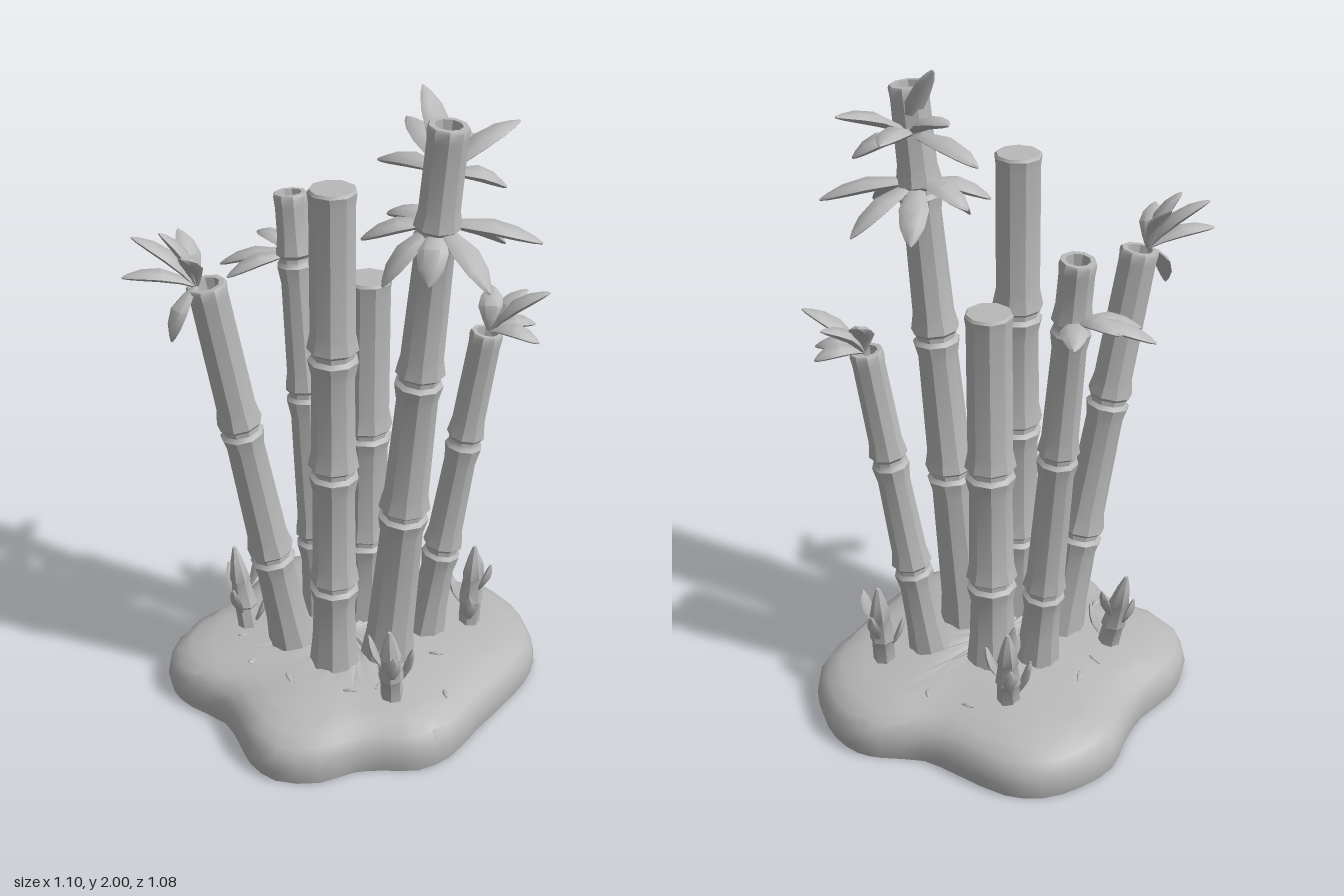
import * as THREE from 'three';
import { toCreasedNormals } from 'three/addons/utils/BufferGeometryUtils.js';

const V = (x, y, z) => new THREE.Vector3(x, y, z);
const UP = V(0, 1, 0);

// Skin a list of rings (equal point counts, counter-clockwise seen from the end), with both ends closed
function loft(rings, crease = 0.6) {
  const n = rings[0].length, pos = [], idx = [];
  rings.forEach(r => r.forEach(p => pos.push(p.x, p.y, p.z)));
  for (let i = 0; i < rings.length - 1; i++) {
    for (let j = 0; j < n; j++) {
      const k = (j + 1) % n, a = i * n, b = a + n;
      idx.push(a + j, a + k, b + k, a + j, b + k, b + j);
    }
  }
  [rings[0], rings[rings.length - 1]].forEach((r, end) => {
    const c = r.reduce((s, p) => s.add(p), V(0, 0, 0)).divideScalar(n);
    const ci = pos.length / 3, o = end ? (rings.length - 1) * n : 0;
    pos.push(c.x, c.y, c.z);
    for (let j = 0; j < n; j++) {
      const k = (j + 1) % n;
      end ? idx.push(ci, o + j, o + k) : idx.push(ci, o + k, o + j);
    }
  });
  const g = new THREE.BufferGeometry();
  g.setAttribute('position', new THREE.Float32BufferAttribute(pos, 3));
  g.setIndex(idx);
  return toCreasedNormals(g, crease);
}

// Elliptical ring around c in the plane of u and v
function ring(c, u, v, ru, rv, n, spin = 0) {
  return Array.from({ length: n }, (_, j) => {
    const a = spin + j / n * Math.PI * 2;
    return c.clone().addScaledVector(u, Math.cos(a) * ru).addScaledVector(v, Math.sin(a) * rv);
  });
}

// Leaning cane with flared, grooved joints and a cut or hollow top
function caneGeometry(base, top, r0, r1, nodes, hollow, spin) {
  const w = top.clone().sub(base).normalize();
  const u = V(1, 0, 0).addScaledVector(w, -w.x).normalize();
  const v = w.clone().cross(u);
  const prof = [[base.y - 0.05, 1.2], [base.y + 0.08, 1]];
  for (const y of nodes) {
    prof.push([y - 0.07, 0.93], [y - 0.018, 1.1], [y - 0.006, 0.93],
      [y + 0.008, 0.93], [y + 0.02, 1.13], [y + 0.07, 0.98]);
  }
  prof.push([top.y - 0.04, 0.98], [top.y - 0.008, 1.04], [top.y, 0.96]);
  if (hollow) prof.push([top.y, 0.68], [top.y - 0.035, 0.6]);
  return loft(prof.map(([y, k]) => {
    const t = (y - base.y) / (top.y - base.y);
    const r = k * (r0 + (r1 - r0) * t);
    return ring(base.clone().lerp(top, t), u, v, r, r, 9, spin);
  }));
}

// Plump pointed leaf from base to tip, arched a little
function leafGeometry(base, tip, width, arch = 0.02) {
  const d = tip.clone().sub(base).normalize();
  const side = UP.clone().cross(d).normalize();
  const nor = d.clone().cross(side);
  const prof = [[0, 0.25], [0.22, 0.62], [0.5, 1], [0.75, 0.82], [0.92, 0.4], [1, 0.06]];
  return loft(prof.map(([t, k]) => {
    const c = base.clone().lerp(tip, t).addScaledVector(nor, arch * Math.sin(Math.PI * t));
    return ring(c, side, nor, k * width / 2, k * width * 0.19 + 0.002, 6);
  }), 0.75);
}

// Lobed mound: one outline scaled through a rounded profile
function moundGeometry() {
  const outline = [[0.55, -0.24], [0.53, -0.1], [0.47, 0.1], [0.43, 0.25], [0.36, 0.34], [0.26, 0.38],
    [0.18, 0.42], [0.1, 0.5], [-0.03, 0.54], [-0.13, 0.5], [-0.2, 0.43], [-0.28, 0.36], [-0.42, 0.325],
    [-0.5, 0.28], [-0.55, 0.19], [-0.54, 0.05], [-0.475, -0.08], [-0.45, -0.2], [-0.44, -0.33],
    [-0.37, -0.44], [-0.27, -0.52], [-0.16, -0.54], [0, -0.5], [0.12, -0.47], [0.25, -0.495],
    [0.33, -0.495], [0.42, -0.45], [0.5, -0.36]].reverse();
  const curve = new THREE.CatmullRomCurve3(outline.map(([x, z]) => V(x, 0, z)), true);
  const pts = curve.getPoints(56).slice(0, 56);
  const prof = [[0, 0.985], [0.04, 1], [0.085, 0.985], [0.118, 0.945], [0.142, 0.87],
    [0.158, 0.75], [0.172, 0.58], [0.182, 0.38], [0.188, 0.15]];
  return loft(prof.map(([y, s], i) => pts.map((p, j) => {
    const bump = i > 1 ? 0.006 * Math.sin(j * 1.9 + i * 2.3) : 0;
    return V(p.x * s, y + bump, p.z * s);
  })), 0.8);
}

export function createModel() {
  const group = new THREE.Group();
  const grey = new THREE.MeshStandardMaterial({ color: 0xb8b8b8 });
  grey.name = 'plain grey';
  const add = (name, geometry, parent = group) => {
    const m = new THREE.Mesh(geometry, grey);
    m.name = name;
    parent.add(m);
    return m;
  };

  add('mound', moundGeometry());

  // Canes: base, top, radii, joint heights, hollow top
  const canes = [
    ['frontLeaningCane', [-0.16, 0.19, 0.09], [-0.33, 1.45, 0.235], 0.066, 0.056, [0.52, 0.98], true],
    ['backLeaningCane', [-0.13, 0.19, -0.09], [-0.25, 1.58, -0.17], 0.062, 0.05, [0.45, 0.95, 1.38], true],
    ['frontStraightCane', [0.005, 0.19, 0.135], [0.005, 1.74, 0.135], 0.069, 0.066, [0.47, 0.87, 1.25], false],
    ['backStraightCane', [0.005, 0.19, -0.13], [0.01, 1.37, -0.13], 0.071, 0.067, [0.47, 0.86], false],
    ['tallCane', [0.145, 0.19, 0.04], [0.3, 1.93, 0.07], 0.075, 0.056, [0.72, 1.18, 1.63], true],
    ['shortCane', [0.215, 0.19, -0.13], [0.355, 1.23, -0.19], 0.058, 0.048, [0.48, 0.87], true],
  ];
  canes.forEach(([name, b, t, r0, r1, nodes, hollow], i) =>
    add(name, caneGeometry(V(...b), V(...t), r0, r1, nodes, hollow, i * 0.4)));

  // Leaf clusters: shared base point, tips
  const clusters = [
    ['tallCaneUpperLeaves', [0.29, 1.79, 0.05], 0.085, [[0.2, 2, -0.01], [0.06, 1.76, -0.06],
      [0.13, 1.88, -0.09], [0.43, 1.89, -0.14], [0.43, 1.74, -0.04], [0.3, 1.83, -0.16]]],
    ['tallCaneLowerLeaves', [0.275, 1.65, 0.06], 0.085, [[0.54, 1.6, -0.03], [0.46, 1.53, 0.18],
      [0.3, 1.53, 0.2], [0.17, 1.51, 0.2], [0.08, 1.6, 0.12], [0.1, 1.62, -0.03],
      [0.23, 1.54, -0.14], [0.41, 1.54, -0.13]]],
    ['frontLeaningLeaves', [-0.35, 1.45, 0.255], 0.07, [[-0.43, 1.61, 0.3], [-0.51, 1.59, 0.31],
      [-0.52, 1.49, 0.36], [-0.35, 1.56, 0.33], [-0.39, 1.31, 0.34], [-0.42, 1.59, 0.21]]],
    ['backLeaningLeaves', [-0.24, 1.39, -0.165], 0.075, [[-0.46, 1.34, -0.12], [-0.39, 1.41, -0.24],
      [-0.28, 1.38, -0.31], [-0.4, 1.34, -0.04]]],
    ['shortCaneLeaves', [0.36, 1.23, -0.2], 0.075, [[0.52, 1.36, -0.24], [0.51, 1.22, -0.19],
      [0.44, 1.33, -0.3], [0.34, 1.34, -0.27], [0.47, 1.23, -0.29]]],
  ];
  for (const [name, b, width, tips] of clusters) {
    const cluster = new THREE.Group();
    cluster.name = name;
    tips.forEach(t => add('leaf', leafGeometry(V(...b), V(...t), width), cluster));
    group.add(cluster);
  }

  // Young shoots wrapped in pointed sheaths
  const shoots = [
    [[-0.32, 0.15, 0.06], [-0.375, 0.44, 0.04]], [[0.33, 0.15, -0.22], [0.335, 0.44, -0.24]],
    [[-0.1, 0.15, -0.3], [-0.11, 0.44, -0.345]], [[0.225, 0.15, 0.22], [0.225, 0.42, 0.25]],
  ];
  shoots.forEach(([b, t], s) => {
    const shoot = new THREE.Group();
    shoot.name = 'youngShoot';
    const base = V(...b), tip = V(...t);
    const prof = [[0, 0.036], [0.3, 0.034], [0.33, 0.04], [0.6, 0.03], [0.63, 0.034], [0.85, 0.02], [1, 0.006]];
    add('shootStem', loft(prof.map(([k, r]) =>
      ring(base.clone().lerp(tip, k), V(0, 0, 1), V(1, 0, 0), r, r, 7, s))), shoot);
    for (let i = 0; i < 4; i++) {
      const a = s * 1.3 + i * 1.75, k = 0.12 + i * 0.12;
      const c = base.clone().lerp(tip, k);
      const from = c.clone().add(V(Math.cos(a) * 0.025, 0, Math.sin(a) * 0.025));
      const to = c.clone().add(V(Math.cos(a) * 0.068, 0.115, Math.sin(a) * 0.068));
      add('sheath', leafGeometry(from, to, 0.045, -0.006), shoot);
    }
    group.add(shoot);
  });

  // Fallen leaf flakes on the mound
  for (let i = 0; i < 14; i++) {
    const a = i * 2.4, r = 0.27 + 0.12 * ((i * 0.37) % 1);
    const y = 0.178 - (r - 0.25) * 0.17;
    const p = V(Math.cos(a) * r, y, Math.sin(a) * r);
    const q = p.clone().add(V(Math.cos(i * 1.7) * 0.045, 0.006, Math.sin(i * 1.7) * 0.045));
    add('fallenLeaf', leafGeometry(p, q, 0.018, 0.002));
  }
  return group;
}
